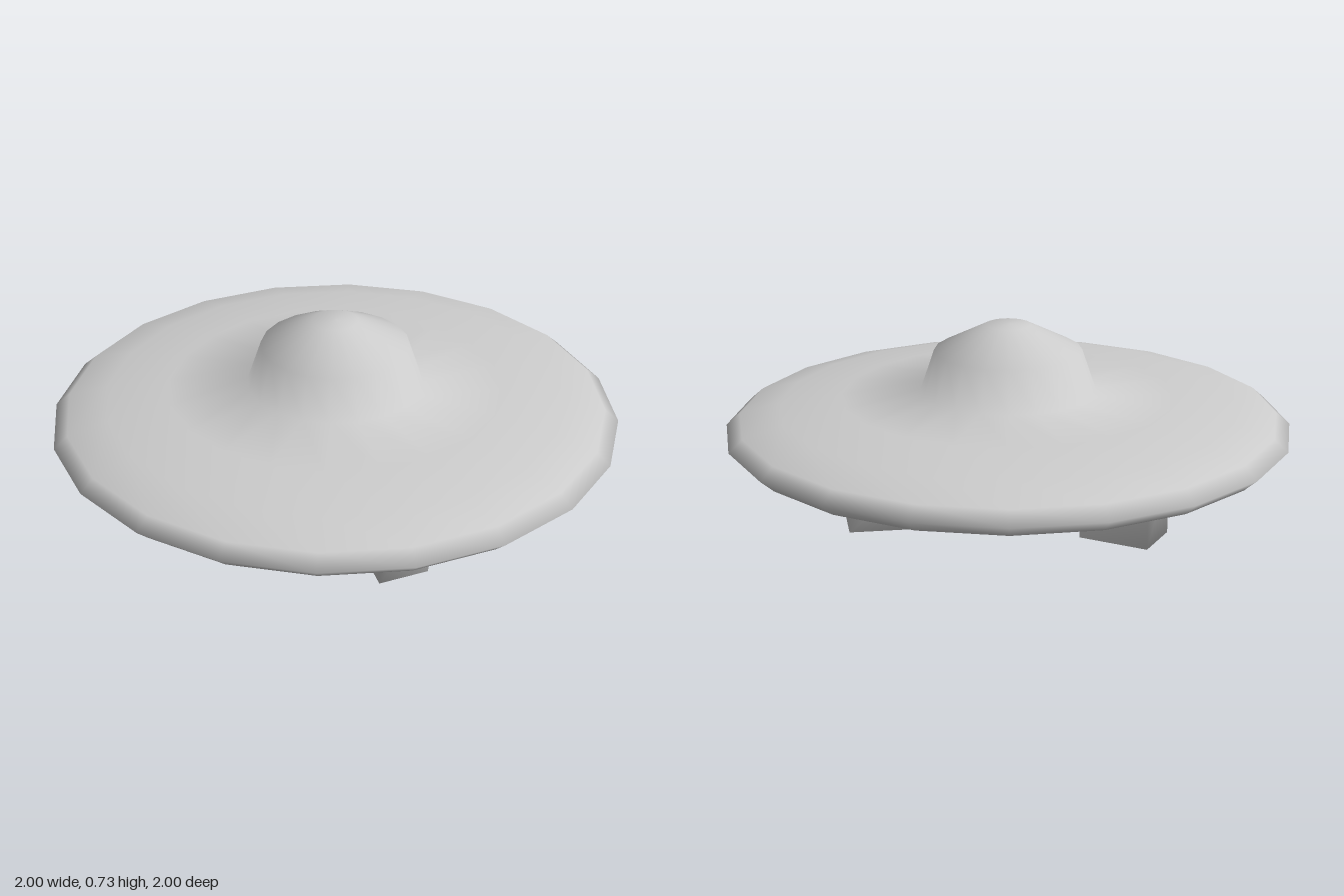
import * as THREE from 'three';

const SIDES = 20;
const STEP = Math.PI / 10; // 18 degrees, both around the disc and along its profile
const MID = 0.36, HALF = 0.14; // height of the rim and half thickness of the disc
const DROP = 0.227; // leg length

const material = new THREE.MeshStandardMaterial({ color: 0xcccccc });

// Point on the underside: ring counted from the pole, spoke counted from +x
function under(ring, spoke, drop = 0) {
  const r = Math.sin(ring * STEP), a = spoke * STEP;
  return [r * Math.cos(a), MID - HALF * Math.cos(ring * STEP) - drop, r * Math.sin(a)];
}

// Smooth block between a top loop and a bottom loop of corners, closed below
function block(name, top, bottom) {
  const n = top.length, index = [];
  for (let i = 0; i < n; i++) {
    const j = (i + 1) % n;
    index.push(n + i, i, n + j, n + j, i, j);
    if (i > 0 && i < n - 1) index.push(n, n + i, n + i + 1);
  }
  const geometry = new THREE.BufferGeometry();
  geometry.setAttribute('position', new THREE.Float32BufferAttribute([...top, ...bottom].flat(), 3));
  geometry.setIndex(index);
  geometry.computeVertexNormals();
  const mesh = new THREE.Mesh(geometry, material);
  mesh.name = name;
  return mesh;
}

export function createModel() {
  const group = new THREE.Group();
  group.name = 'flyingSaucer';

  // Flattened disc with the dome rising from its innermost upper ring
  const profile = [];
  for (let i = 0; i <= 9; i++) {
    profile.push(new THREE.Vector2(Math.sin(i * STEP), MID - HALF * Math.cos(i * STEP)));
  }
  profile.push(new THREE.Vector2(0.26, 0.637), new THREE.Vector2(0.08, 0.728), new THREE.Vector2(0, 0.73));
  const hull = new THREE.Mesh(new THREE.LatheGeometry(profile, SIDES), material);
  hull.name = 'discAndDome';
  group.add(hull);

  // Three legs, each one panel of the underside pulled straight down
  const legs = { rightLeg: 10, frontLeg: 2, backLeg: -2 };
  for (const [name, s] of Object.entries(legs)) {
    const corners = [[1, s], [2, s], [2, s + 1], [1, s + 1]];
    group.add(block(name, corners.map((c) => under(...c)), corners.map((c) => under(...c, DROP))));
  }

  // Wedge sloping from the centre of the underside to the feet of two legs
  const wedge = [[0, 0], [1, -1], [1, 2]];
  group.add(block('legBrace', wedge.map((c) => under(...c)),
    wedge.map(([r, s]) => under(r, s, r * DROP))));

  return group;
}
